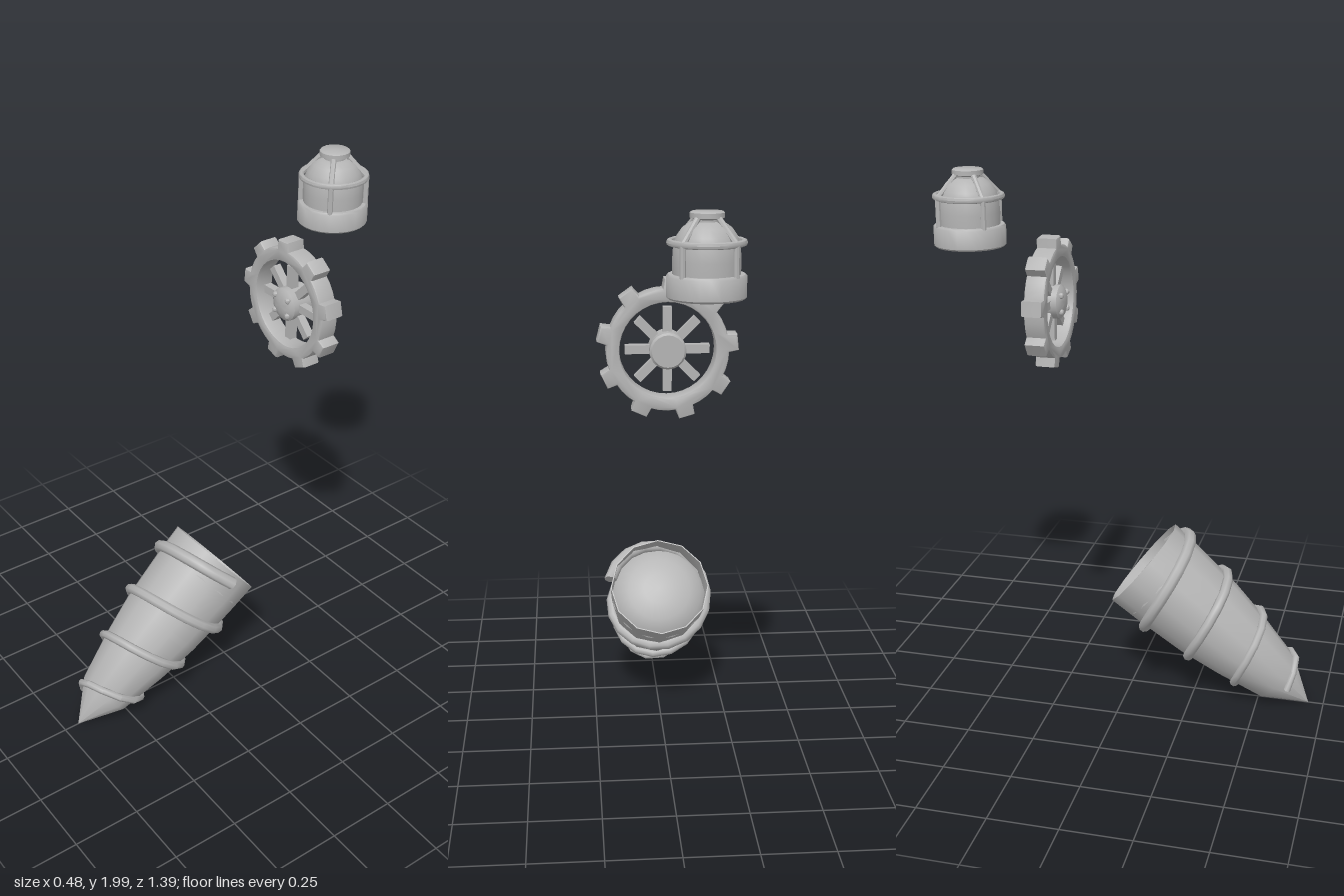
import * as THREE from 'three';
import { toCreasedNormals } from 'three/addons/utils/BufferGeometryUtils.js';

const metal = new THREE.MeshStandardMaterial({ color: 0xb4b4b4 });
metal.name = 'grey metal';

function add(parent, name, geometry, crease = 0.75) {
  const mesh = new THREE.Mesh(toCreasedNormals(geometry, crease), metal);
  mesh.name = name;
  parent.add(mesh);
  return mesh;
}

const lathe = (points, segments) =>
  new THREE.LatheGeometry(points.map(([r, y]) => new THREE.Vector2(r, y)), segments);

// Straight round bar between two points
function bar(parent, name, a, b, radius) {
  const dir = b.clone().sub(a);
  const mesh = add(parent, name, new THREE.CylinderGeometry(radius, radius, dir.length(), 8), 0.9);
  mesh.position.copy(a).add(b).multiplyScalar(0.5);
  mesh.quaternion.setFromUnitVectors(new THREE.Vector3(0, 1, 0), dir.normalize());
}

function createLantern() {
  const g = new THREE.Group();
  g.name = 'lantern';
  add(g, 'lanternBase', lathe([[0, 0], [0.122, 0], [0.128, 0.006], [0.128, 0.07],
    [0.122, 0.077], [0, 0.077]], 24));
  add(g, 'lanternGlass', lathe([[0.108, 0.07], [0.109, 0.12], [0.106, 0.165], [0.096, 0.195],
    [0.078, 0.22], [0.055, 0.236], [0, 0.245]], 24), 1);
  add(g, 'lanternCap', lathe([[0, 0.225], [0.04, 0.225], [0.04, 0.245], [0.055, 0.25],
    [0.055, 0.266], [0.05, 0.27], [0, 0.27]], 16));
  const ring = add(g, 'cageRing', new THREE.TorusGeometry(0.117, 0.011, 8, 24), 1);
  ring.rotation.x = Math.PI / 2;
  ring.position.y = 0.175;
  // Four cage bars on the diagonals, upright then sloping to the cap
  for (let i = 0; i < 4; i++) {
    const a = Math.PI / 4 + i * Math.PI / 2;
    const at = (r, y) => new THREE.Vector3(r * Math.cos(a), y, r * Math.sin(a));
    bar(g, 'cageUpright', at(0.117, 0.06), at(0.117, 0.178), 0.01);
    bar(g, 'cageSlope', at(0.117, 0.175), at(0.046, 0.25), 0.01);
  }
  return g;
}

function createGear() {
  const g = new THREE.Group();
  g.name = 'gearWheel';
  // Toothed rim
  const outline = [];
  const polar = (r, a) => outline.push(new THREE.Vector2(r * Math.cos(a), r * Math.sin(a)));
  for (let k = 0; k < 9; k++) {
    const c = THREE.MathUtils.degToRad(14 + 40 * k);
    polar(0.207, c - 0.15);
    polar(0.24, c - 0.115);
    polar(0.24, c + 0.115);
    polar(0.207, c + 0.15);
    polar(0.208, c + 0.27);
    polar(0.208, c + 0.43);
  }
  const shape = new THREE.Shape(outline);
  shape.holes.push(new THREE.Path().absarc(0, 0, 0.162, 0, Math.PI * 2, true));
  const rim = new THREE.ExtrudeGeometry(shape, { depth: 0.06, bevelThickness: 0.008,
    bevelSize: 0.008, bevelOffset: -0.008, bevelSegments: 2, curveSegments: 18 });
  add(g, 'gearRim', rim.translate(0, 0, -0.03));
  // Spokes stop short of the rim
  for (let i = 0; i < 8; i++) {
    const spoke = add(g, 'spoke', new THREE.BoxGeometry(0.1, 0.03, 0.03).translate(0.093, 0, 0));
    spoke.rotation.z = i * Math.PI / 4;
  }
  // Domed hub with bolts
  const hub = add(g, 'hub', lathe([[0, -0.055], [0.055, -0.055], [0.062, -0.048], [0.062, 0.036],
    [0.05, 0.046], [0.028, 0.053], [0, 0.055]], 20));
  hub.rotation.x = Math.PI / 2;
  for (const x of [-0.035, 0.035]) for (const y of [-0.03, 0.03]) {
    const bolt = add(g, 'hubBolt', new THREE.SphereGeometry(0.011, 8, 6), 1);
    bolt.position.set(x, y, 0.048);
  }
  return g;
}

function createDrill() {
  const g = new THREE.Group();
  g.name = 'drill';
  // Pointed body, tip at the origin, with a recessed dome in the back
  const side = [[0, 0], [0.1, 0.155], [0.14, 0.34], [0.166, 0.5], [0.182, 0.7], [0.188, 0.828]];
  add(g, 'drillBody', lathe([...side, [0.184, 0.828], [0.181, 0.735]], 12), 0.6);
  add(g, 'backDome', lathe([[0.181, 0.735], [0.162, 0.765], [0.12, 0.79], [0.06, 0.805],
    [0, 0.81]], 24), 1);

  const radiusAt = (s) => {
    const i = Math.max(1, side.findIndex((p) => p[1] >= s));
    const [r0, s0] = side[i - 1], [r1, s1] = side[i];
    return r0 + (r1 - r0) * (s - s0) / (s1 - s0);
  };
  // Spiral thread
  const points = [], first = -0.35, last = 3.27, rows = 52, sides = 8;
  for (let i = 0; i <= rows; i++) {
    const turn = first + (last - first) * i / rows;
    const s = 0.153 + 0.2 * turn, r = radiusAt(s) + 0.006, a = turn * Math.PI * 2;
    points.push(new THREE.Vector3(r * Math.sin(a), s, r * Math.cos(a)));
  }
  const path = new THREE.CatmullRomCurve3(points);
  const tube = new THREE.TubeGeometry(path, rows, 1, sides);
  const pos = tube.attributes.position, v = new THREE.Vector3();
  for (let i = 0; i <= rows; i++) {
    const centre = path.getPointAt(i / rows);
    // End rows fold onto their neighbour's centre to close the tube flat
    const end = i === 0 || i === rows;
    const target = end ? path.getPointAt(i === 0 ? 1 / rows : 1 - 1 / rows) : centre;
    const size = end ? 0 : 0.013 + 0.011 * i / rows;
    for (let j = 0; j <= sides; j++) {
      const n = i * (sides + 1) + j;
      v.fromBufferAttribute(pos, n).sub(centre).multiplyScalar(size).add(target);
      pos.setXYZ(n, v.x, v.y, v.z);
    }
  }
  add(g, 'spiralThread', tube, 0.9);
  return g;
}

export function createModel() {
  const model = new THREE.Group();
  model.name = 'machineParts';
  const lantern = createLantern();
  lantern.position.set(-0.104, 1.73, -0.565);
  const gear = createGear();
  gear.position.set(0, 1.518, -0.303);
  const drill = createDrill();
  drill.position.set(0, 0.006, 0.693);
  drill.rotation.x = -0.898;
  model.add(lantern, gear, drill);
  return model;
}
